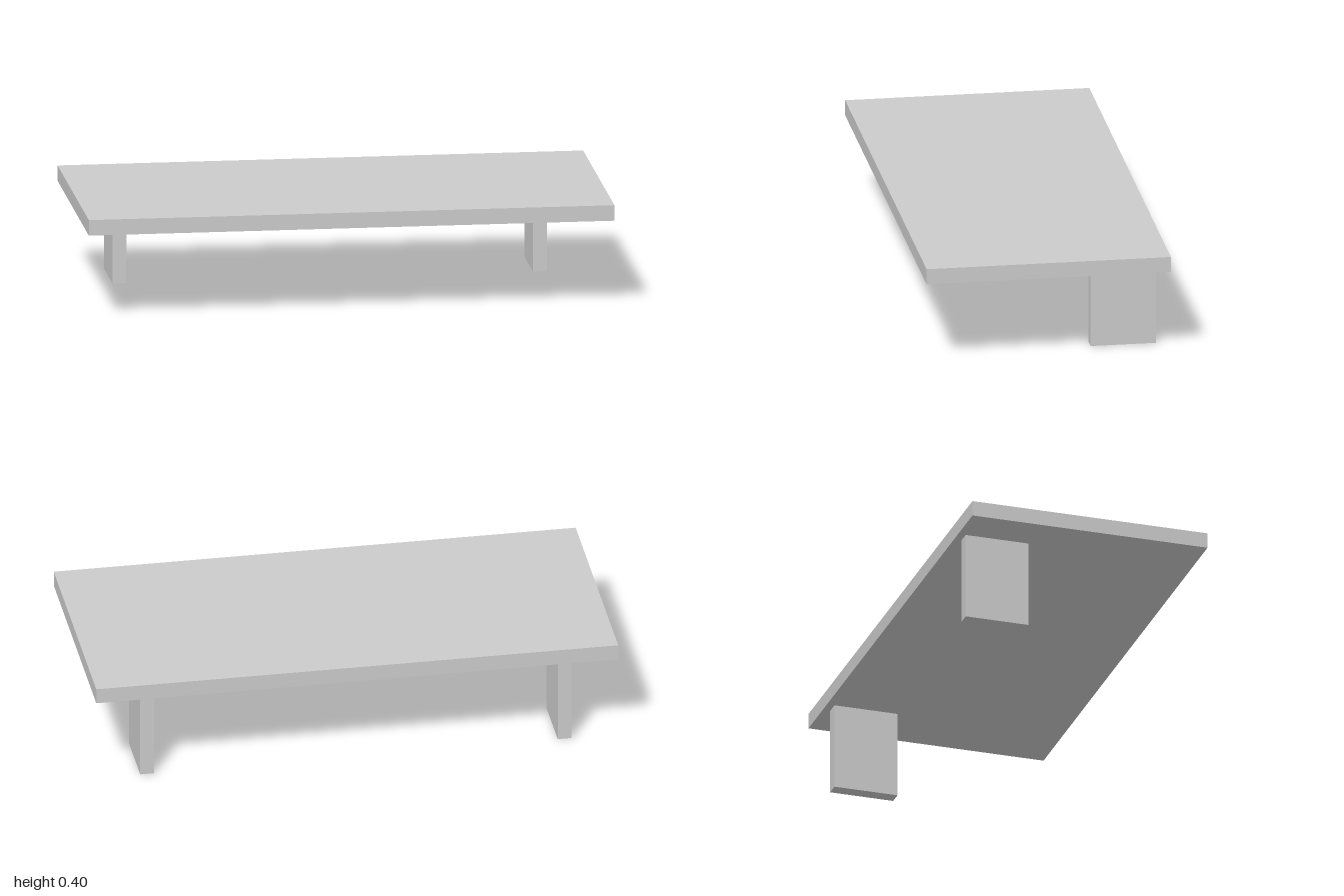
import * as THREE from 'three';

export function createModel() {
  const model = new THREE.Group();
  const material = new THREE.MeshStandardMaterial({ color: 0xcccccc });

  function addBox(name, size, position) {
    const mesh = new THREE.Mesh(new THREE.BoxGeometry(...size), material);
    mesh.name = name;
    mesh.position.set(...position);
    model.add(mesh);
  }

  const legHeight = 0.339;
  const topThickness = 0.06;

  // Flat slab top
  addBox('tableTop', [2, topThickness, 0.933], [0, legHeight + topThickness / 2, 0]);

  // Panel legs set towards the back
  for (const [name, side] of [['leftLeg', 1], ['rightLeg', -1]]) {
    addBox(name, [0.053, legHeight, 0.25], [side * 0.8, legHeight / 2, -0.312]);
  }

  return model;
}
